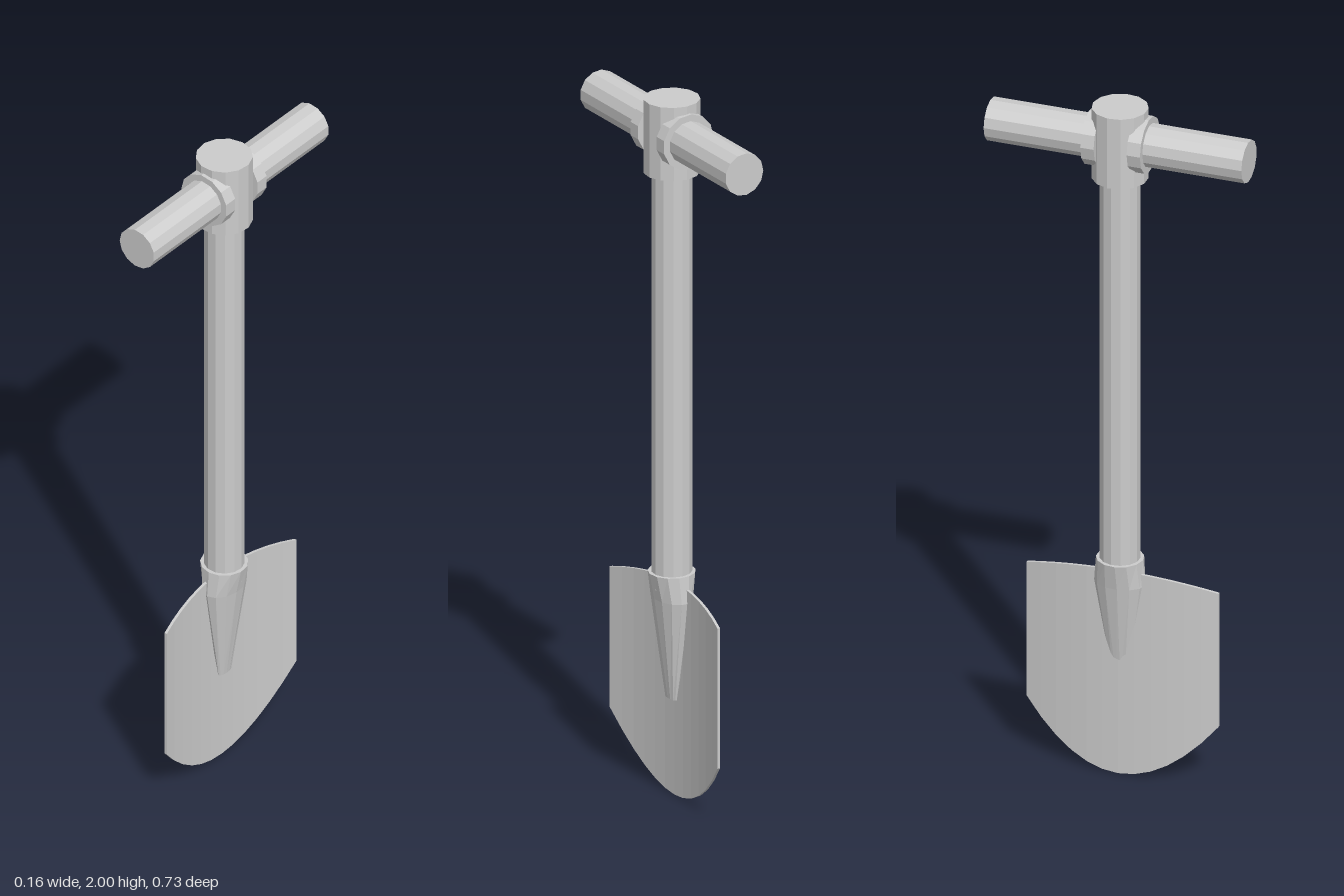
import * as THREE from 'three';

const SIDES = 13;

export function createModel() {
  const spade = new THREE.Group();
  spade.name = 'spade';
  const grey = new THREE.MeshStandardMaterial({ color: 0xcccccc, flatShading: true });

  const add = (name, geometry) => {
    const mesh = new THREE.Mesh(geometry, grey);
    mesh.name = name;
    spade.add(mesh);
    return mesh;
  };

  // Upright cylinder between two heights, with a corner facing -z
  const upright = (name, radius, y0, y1) => {
    const g = new THREE.CylinderGeometry(radius, radius, y1 - y0, SIDES);
    return add(name, g.rotateY(Math.PI).translate(0, (y0 + y1) / 2, 0));
  };

  // Cylinder along z at the height of the grip
  const crosswise = (name, radius, z0, z1) => {
    const g = new THREE.CylinderGeometry(radius, radius, z1 - z0, SIDES);
    return add(name, g.rotateY(-Math.PI / 2).rotateX(Math.PI / 2).translate(0, 1.9, (z0 + z1) / 2));
  };

  // Shaft and T-handle
  upright('shaft', 0.055, 0.6, 1.85);
  upright('handleHub', 0.077, 1.79, 2);
  crosswise('grip', 0.06, -0.367, 0.367);
  crosswise('leftGripCollar', 0.079, 0.047, 0.085);
  crosswise('rightGripCollar', 0.079, -0.085, -0.047);

  // Socket: round at the shaft, flattening into a narrow tongue on the blade
  const rows = [
    { y: 0.28, rx: 0.009, rz: 0.026, cx: 0.002 },
    { y: 0.57, rx: 0.05, rz: 0.072, cx: 0 },
    { y: 0.645, rx: 0.065, rz: 0.065, cx: 0 },
  ];
  const socket = new THREE.CylinderGeometry(1, 1, 2, SIDES, 2);
  const sp = socket.attributes.position;
  for (let i = 0; i < sp.count; i++) {
    const r = rows[Math.round(sp.getY(i)) + 1];
    sp.setXYZ(i, r.cx + sp.getX(i) * r.rx, r.y, sp.getZ(i) * r.rz);
  }
  add('socket', socket);

  // Blade: thin plate dished towards +x, with a rounded tip and gently arched top
  const blade = new THREE.BoxGeometry(0.008, 1, 2, 1, 1, 12);
  const bp = blade.attributes.position;
  for (let i = 0; i < bp.count; i++) {
    const t = bp.getZ(i);
    const y = bp.getY(i) > 0 ? 0.61 - 0.038 * t * t : 0.17 * t * t;
    bp.setXYZ(i, bp.getX(i) - 0.012 + 0.034 * t * t, y, t * 0.273);
  }
  add('blade', blade);

  return spade;
}
